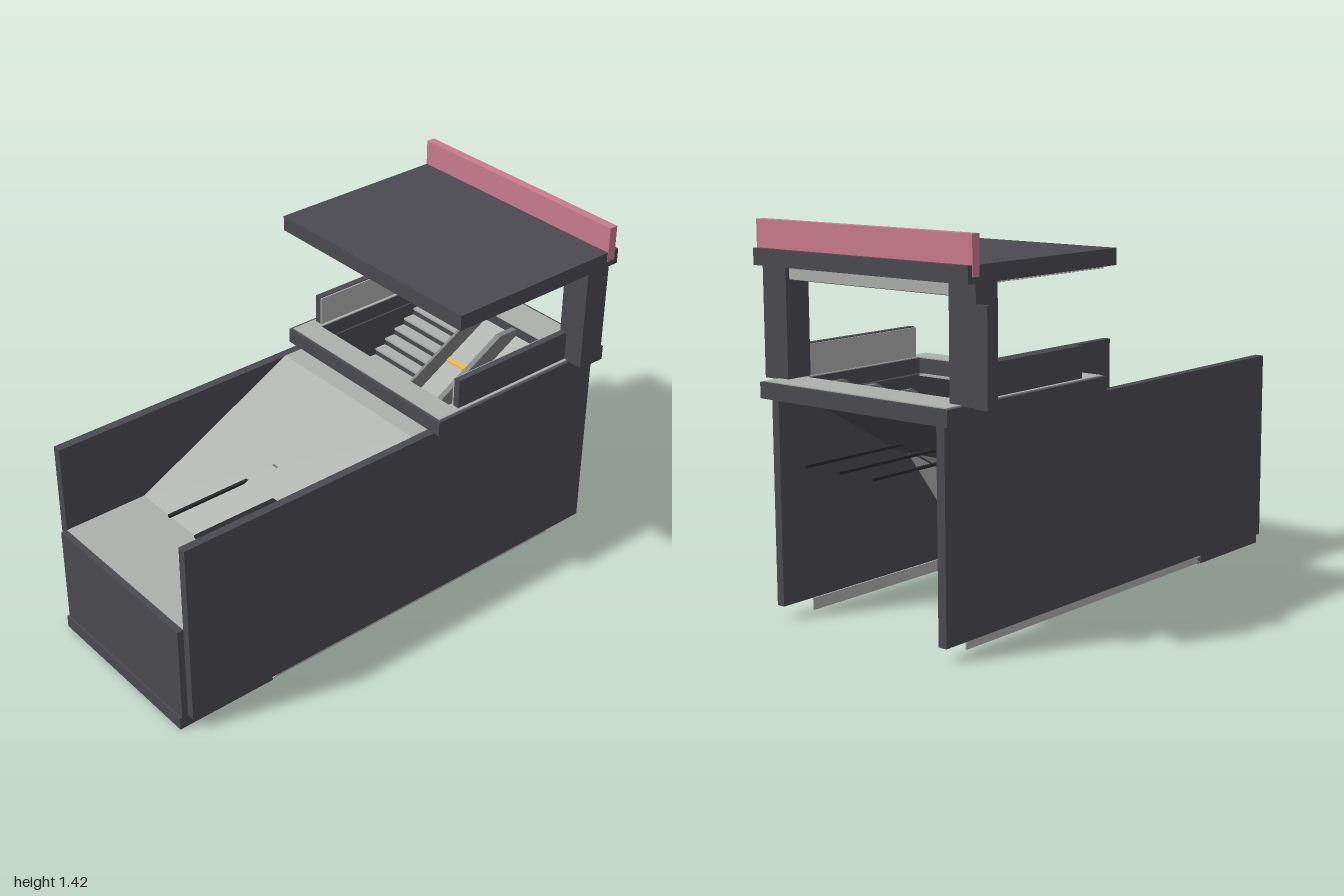
import * as THREE from 'three';

const mat = (name, color) => Object.assign(new THREE.MeshStandardMaterial({ color }), { name });

export function createModel() {
  const dark = mat('dark panel', 0x4b4a50);
  const light = mat('light stone', 0xadafad);
  const grey = mat('balustrade grey', 0x7c7d7e);
  const black = mat('handrail black', 0x2c2c2f);
  const pink = mat('sign pink', 0xc97b8f);
  const yellow = mat('marking yellow', 0xe0ae20);
  const root = new THREE.Group();

  // Box given by its limits on each axis
  function box(name, m, x0, x1, y0, y1, z0, z1, parent = root) {
    const mesh = new THREE.Mesh(new THREE.BoxGeometry(x1 - x0, y1 - y0, z1 - z0), m);
    mesh.position.set((x0 + x1) / 2, (y0 + y1) / 2, (z0 + z1) / 2);
    mesh.name = name;
    parent.add(mesh);
    return mesh;
  }
  // Side profile of [z, y] points extruded across x
  function profile(name, m, pts, x0, x1) {
    const shape = new THREE.Shape(pts.map(([z, y]) => new THREE.Vector2(-z, y)));
    const geo = new THREE.ExtrudeGeometry(shape, { depth: x1 - x0, bevelEnabled: false });
    geo.rotateY(Math.PI / 2);
    const mesh = new THREE.Mesh(geo, m);
    mesh.position.x = x0;
    mesh.name = name;
    root.add(mesh);
    return mesh;
  }

  const zLow = 0.585, zTop = -0.835, yTop = 0.8;
  const slopeY = (z) => ((zLow - z) / (zLow - zTop)) * yTop;

  // Shaft: side walls, front panel, floor
  box('rightWall', dark, -0.375, -0.34, 0.05, 0.795, -0.975, 0.965);
  box('leftWall', dark, 0.398, 0.43, 0.05, 0.795, -0.975, 0.965);
  box('frontPanel', dark, -0.34, 0.398, 0.05, 0.44, 0.965, 0.99);
  box('lowerLanding', dark, -0.34, 0.398, 0, 0.05, zLow, 1);

  // Stone lining under the stair flight
  const lining = [[zLow, 0.005], [zTop, 0.005], [zTop, 0.05], [0.02, 0.05], [-0.33, 0.51]];
  profile('rightLining', light, lining, -0.34, -0.335);
  profile('leftLining', light, lining, 0.392, 0.397);

  // Ceiling over the flight: flat, sloped, flat
  const ceiling = [[0.965, 0.44], [0.62, 0.44], [-0.07, 0.797], [-0.25, 0.797]];
  const under = ceiling.map(([z, y]) => [z, y - 0.008]).reverse();
  profile('ceiling', light, [...ceiling, ...under], -0.34, 0.398);

  // Stairs
  const stairs = new THREE.Group();
  stairs.name = 'stairs';
  root.add(stairs);
  const steps = 28, run = (zLow - zTop) / steps, rise = yTop / steps;
  for (let i = 0; i < steps; i++) {
    const z = zLow - i * run, y = (i + 1) * rise;
    box('tread', light, -0.335, -0.035, y - 0.008, y, z - run, z, stairs);
    box('riser', dark, -0.335, -0.035, y - rise, y - 0.008, z - 0.016, z - 0.002, stairs);
  }

  // Escalators with yellow cross markings
  const band = (za, zb, lo, hi) => [
    [za, slopeY(za) + lo], [za, slopeY(za) + hi], [zb, slopeY(zb) + hi], [zb, slopeY(zb) + lo]];
  for (const [x0, x1] of [[-0.02, 0.13], [0.15, 0.295]]) {
    profile('escalatorRamp', light, band(zLow, zTop, 0.004, 0.024), x0, x1);
    for (let k = 0; k < 6; k++) {
      const z = 0.42 - k * 0.21;
      profile('escalatorMarking', yellow, band(z, z - 0.016, 0.002, 0.027), x0, x1);
    }
  }
  profile('sideRamp', light, band(zLow, zTop, 0.004, 0.03), 0.305, 0.392);

  // Soffit below the upper part of the flight
  profile('upperSoffit', dark, band(-0.36, zTop, -0.02, -0.012), -0.335, 0.392);

  // Balustrades and long horizontal rails
  for (const [x, w] of [[-0.025, 0.012], [0.142, 0.024], [0.3, 0.012]]) {
    profile('balustrade', grey,
      [[zLow, 0.01], [zLow, 0.1], [-0.75, 0.853], [zTop, 0.853], [zTop, 0.8]], x - w / 2, x + w / 2);
    box('rail', black, x - w / 2, x + w / 2, 0.563, 0.573, -0.95, 0.72);
  }
  box('ceilingTab', grey, 0.015, 0.04, 0.615, 0.622, 0.25, 0.275);

  // Street-level platform: ring around the stair opening
  const ring = (name, m, y0, y1, inset) => {
    const g = new THREE.Group();
    g.name = name;
    root.add(g);
    const xa = -0.41 + inset, xb = 0.462 - inset, za = -1 + inset, zb = -0.145 - inset;
    box('backEdge', m, xa, xb, y0, y1, za, -0.84, g);
    box('frontEdge', m, xa, xb, y0, y1, -0.25, zb, g);
    box('rightEdge', m, xa, -0.34, y0, y1, -0.84, -0.25, g);
    box('leftEdge', m, 0.398, xb, y0, y1, -0.84, -0.25, g);
  };
  ring('platform', dark, 0.8, 0.858, 0);
  ring('platformPaving', light, 0.858, 0.862, 0.012);

  // Parapets beside the opening, lined inside
  box('rightParapet', dark, -0.385, -0.358, 0.862, 0.978, -0.82, -0.26);
  box('leftParapet', dark, 0.412, 0.438, 0.862, 0.978, -0.82, -0.26);
  box('rightParapetLining', light, -0.358, -0.352, 0.862, 0.975, -0.82, -0.26);
  box('leftParapetLining', light, 0.405, 0.412, 0.862, 0.975, -0.82, -0.26);

  // Canopy on two pillars
  box('rightPillar', dark, -0.465, -0.35, 0.858, 1.26, -0.92, -0.812);
  box('leftPillar', dark, 0.405, 0.52, 0.858, 1.26, -0.92, -0.812);
  box('canopyRoof', dark, -0.467, 0.523, 1.26, 1.32, -0.96, -0.17);
  box('canopyBeam', dark, -0.35, 0.405, 1.21, 1.26, -0.895, -0.82);
  box('beamLight', light, -0.35, 0.405, 1.213, 1.258, -0.903, -0.895);
  const slats = new THREE.Group();
  slats.name = 'canopySlats';
  root.add(slats);
  for (let i = 0; i < 26; i++) {
    const z = -0.21 - i * 0.0232;
    box('slat', light, -0.44, 0.495, 1.25, 1.26, z - 0.011, z, slats);
  }

  // Sign board on the back edge and the side post
  box('signBoard', pink, -0.469, 0.525, 1.282, 1.42, -0.94, -0.905);
  box('sidePost', dark, -0.525, -0.472, 0.858, 1.195, -0.935, -0.913);

  return root;
}
